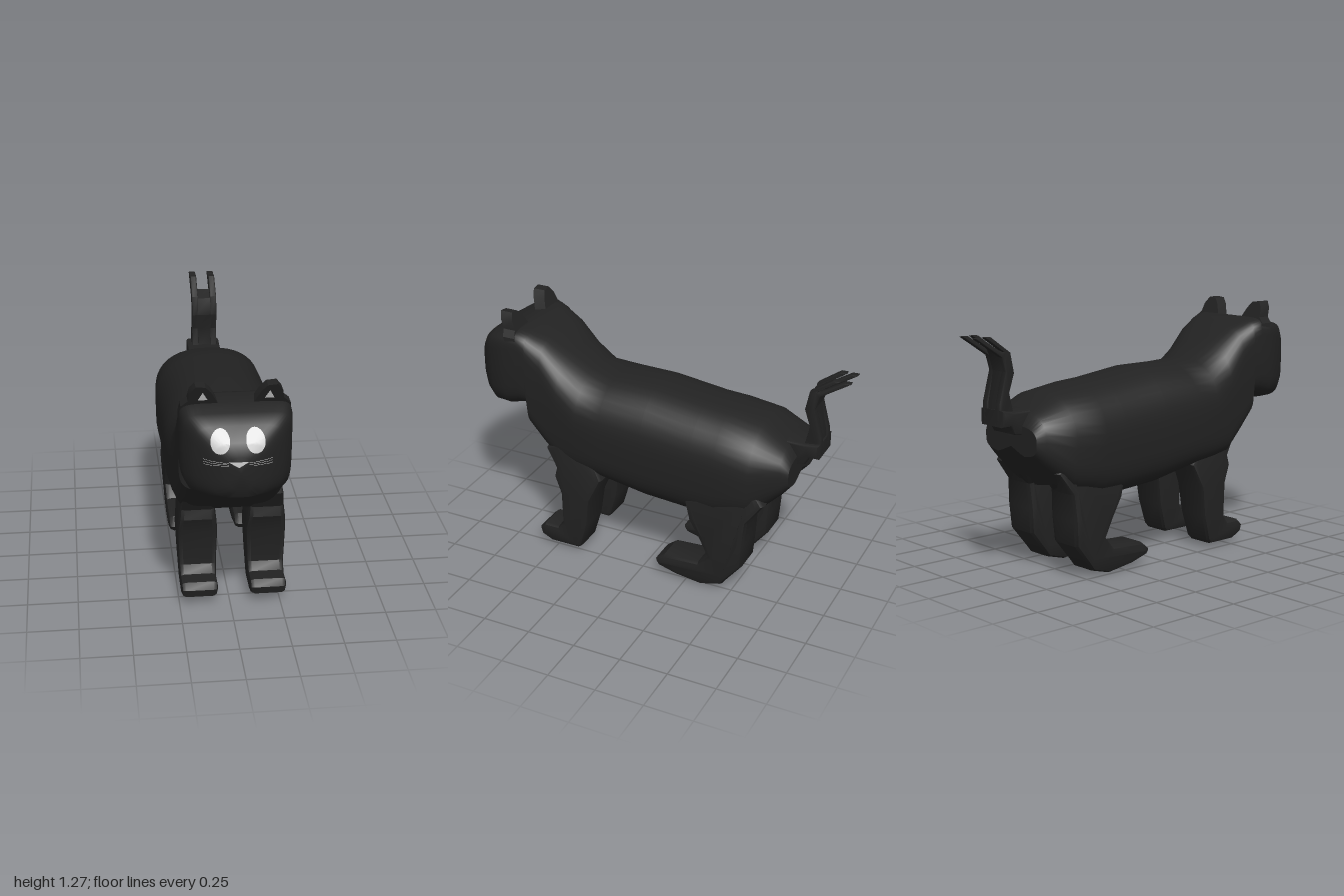
import * as THREE from 'three';
import { toCreasedNormals } from 'three/addons/utils/BufferGeometryUtils.js';

const fur = new THREE.MeshStandardMaterial({ color: 0x222222, side: THREE.DoubleSide });
const pale = new THREE.MeshStandardMaterial({ color: 0xcccccc, side: THREE.DoubleSide });

// Skin of rounded sections along z:
// [z, bottom, top, halfWidth, squareness above, squareness below, groove under the middle]
function loft(sections, n = 40) {
  const pos = [], idx = [];
  const pw = (v, e) => Math.sign(v) * Math.abs(v) ** e;
  for (const [z, lo, hi, w, sqTop, sqLow, groove = 0] of sections) {
    for (let j = 0; j < n; j++) {
      const a = (j / n) * Math.PI * 2, s = Math.sin(a), e = 2 / (s > 0 ? sqTop : sqLow);
      const x = w * pw(Math.cos(a), e);
      const lift = s < 0 ? groove * Math.max(0, 1 - Math.abs(x) / 0.1) : 0;
      pos.push(x, (lo + hi) / 2 + ((hi - lo) / 2) * pw(s, e) + lift, z);
    }
  }
  const last = sections.length - 1;
  for (let i = 0; i < last; i++) {
    for (let j = 0; j < n; j++) {
      const k = (j + 1) % n, a = i * n + j, b = i * n + k;
      idx.push(a, a + n, b, b, a + n, b + n);
    }
  }
  // end caps
  for (const i of [0, last]) {
    const [z, lo, hi] = sections[i], c = pos.length / 3;
    pos.push(0, (lo + hi) / 2, z);
    for (let j = 0; j < n; j++) {
      const a = i * n + j, b = i * n + ((j + 1) % n);
      if (i === 0) idx.push(c, a, b);
      else idx.push(c, b, a);
    }
  }
  const g = new THREE.BufferGeometry();
  g.setAttribute('position', new THREE.Float32BufferAttribute(pos, 3));
  g.setIndex(idx);
  return toCreasedNormals(g, 0.6);
}

// Side outline of [z, y] points, thickened across x with soft edges;
// widthAt(y) makes it broader or narrower with height
function slab(outline, width, bevel, widthAt = () => 1) {
  const shape = new THREE.Shape(outline.map(([z, y]) => new THREE.Vector2(z, y)));
  const g = new THREE.ExtrudeGeometry(shape, {
    depth: width - 2 * bevel, bevelThickness: bevel, bevelSize: bevel, bevelOffset: -bevel, bevelSegments: 2,
  });
  g.translate(0, 0, bevel - width / 2);
  g.rotateY(-Math.PI / 2);
  const p = g.attributes.position;
  for (let i = 0; i < p.count; i++) p.setX(i, p.getX(i) * widthAt(p.getY(i)));
  return toCreasedNormals(g, 0.6);
}

// Legs are slimmer at the foot, fullest at the knee, and tuck into the body above
const legWidth = (y) => (y < 0.33 ? 0.86 + 0.5 * y : 1.025 - 1.1 * (y - 0.33));

export function createModel() {
  const model = new THREE.Group();
  const add = (name, geometry, material = fur, x = 0) => {
    const mesh = new THREE.Mesh(geometry, material);
    mesh.name = name;
    mesh.position.x = x;
    model.add(mesh);
    return mesh;
  };

  // Head and body in one skin, nose to rump
  const body = add('headAndBody', loft([
    [1.0, 0.84, 1.0, 0.06, 3, 3], [0.975, 0.79, 1.06, 0.13, 4, 3], [0.92, 0.765, 1.12, 0.2, 6, 3.5],
    [0.86, 0.745, 1.155, 0.245, 8, 4], [0.78, 0.745, 1.175, 0.26, 8, 4], [0.71, 0.765, 1.19, 0.26, 7, 4],
    [0.665, 0.78, 1.175, 0.255, 6, 5], [0.655, 0.67, 1.17, 0.255, 6, 6], [0.58, 0.58, 1.14, 0.255, 4.5, 6],
    [0.48, 0.48, 1.06, 0.265, 3, 5.5], [0.37, 0.46, 0.985, 0.28, 2.4, 4.5], [0.23, 0.44, 0.98, 0.29, 2.3, 4],
    [0, 0.39, 0.98, 0.29, 2.3, 3.6], [-0.27, 0.37, 0.945, 0.29, 2.3, 3.5],
    [-0.4, 0.38, 0.935, 0.295, 2.3, 3.6, 0.06], [-0.58, 0.43, 0.905, 0.285, 2.4, 3.6, 0.12],
    [-0.72, 0.57, 0.83, 0.225, 2.8, 3.6, 0.08], [-0.76, 0.62, 0.77, 0.2, 3, 3.6, 0.04],
  ]));

  // Legs
  const frontLeg = [
    [0.37, 0.02], [0.53, 0.02], [0.59, 0.05], [0.6, 0.09], [0.57, 0.12], [0.49, 0.12], [0.46, 0.16],
    [0.46, 0.34], [0.5, 0.43], [0.49, 0.48], [0.55, 0.58], [0.45, 0.64], [0.3, 0.6], [0.23, 0.46],
    [0.29, 0.33], [0.31, 0.18], [0.35, 0.04],
  ];
  const hindLeg = [
    [-0.34, 0], [-0.45, 0.03], [-0.48, 0.07], [-0.56, 0.17], [-0.57, 0.3], [-0.58, 0.43], [-0.66, 0.54],
    [-0.6, 0.62], [-0.4, 0.6], [-0.24, 0.48], [-0.27, 0.38], [-0.33, 0.28], [-0.37, 0.19], [-0.32, 0.13],
    [-0.13, 0.12], [-0.08, 0.08], [-0.1, 0.05], [-0.2, 0.02],
  ];
  add('rightFrontLeg', slab(frontLeg, 0.2, 0.025, legWidth), fur, -0.15);
  add('leftFrontLeg', slab(frontLeg, 0.2, 0.025, legWidth), fur, 0.19);
  add('rightHindLeg', slab(hindLeg, 0.21, 0.03, legWidth), fur, -0.16);
  add('leftHindLeg', slab(hindLeg, 0.21, 0.03, legWidth), fur, 0.19);

  // Tail: broad root, central strip and two outer strips with split tips
  add('tailRoot', slab([
    [-0.7, 0.84], [-0.74, 0.72], [-0.8, 0.73], [-0.82, 0.77], [-0.87, 0.77], [-0.87, 0.85], [-0.8, 0.84],
  ], 0.18, 0.012));
  add('tailCore', slab([
    [-0.79, 0.78], [-0.86, 0.78], [-0.86, 0.88], [-0.83, 1.03], [-0.85, 1.1], [-0.87, 1.14], [-0.8, 1.11],
    [-0.78, 1.02], [-0.81, 0.93],
  ], 0.1, 0.008));
  const strip = [
    [-0.78, 0.78], [-0.87, 0.78], [-0.87, 0.88], [-0.83, 1.03], [-0.85, 1.1], [-1.0, 1.2], [-0.965, 1.2],
    [-0.85, 1.125], [-0.838, 1.125], [-0.945, 1.2], [-0.91, 1.2], [-0.8, 1.12], [-0.78, 1.02],
    [-0.81, 0.93], [-0.79, 0.84],
  ];
  for (const x of [-0.045, 0.055]) add('tailStrip', slab(strip, 0.035, 0.005), fur, x);

  // Ears: upright plates leaning forward, with pale inner triangles
  for (const s of [-1, 1]) {
    const plate = (pts, depth, z0) => {
      const g = new THREE.ExtrudeGeometry(
        new THREE.Shape(pts.map(([x, y]) => new THREE.Vector2(s * x, y))), { depth, bevelEnabled: false });
      const p = g.attributes.position;
      for (let i = 0; i < p.count; i++) p.setZ(i, p.getZ(i) + z0 + (p.getY(i) - 1.15) * 0.4);
      return toCreasedNormals(g, 0.6);
    };
    add('ear', plate([
      [0.07, 1.15], [0.113, 1.235], [0.14, 1.265], [0.185, 1.27], [0.21, 1.235], [0.218, 1.19], [0.25, 1.16],
      [0.255, 1.12],
    ], 0.065, 0.71));
    add('innerEar', plate([[0.13, 1.195], [0.172, 1.195], [0.152, 1.237]], 0.004, 0.775), pale);
  }

  // Face markings laid onto the front of the head
  const ray = new THREE.Raycaster();
  const drape = (g, lift) => {
    const p = g.attributes.position;
    for (let i = 0; i < p.count; i++) {
      ray.set(new THREE.Vector3(p.getX(i), p.getY(i), 3), new THREE.Vector3(0, 0, -1));
      p.setZ(i, ray.intersectObject(body)[0].point.z + lift);
    }
    g.computeVertexNormals();
    return g;
  };
  for (const x of [-0.09, 0.068]) {
    const eye = new THREE.RingGeometry(0.001, 1, 28, 6).scale(0.043, 0.051, 1);
    add('eye', drape(eye.rotateZ(x < 0 ? -0.2 : 0.2).translate(x, 1.065, 0), 0.006), pale);
  }
  const nose = new THREE.CircleGeometry(1, 3).rotateZ(-Math.PI / 2).scale(0.052, 0.019, 1);
  add('nose', drape(nose.translate(-0.01, 0.972, 0), 0.008), pale);
  for (const s of [-1, 1]) {
    for (let i = 0; i < 3; i++) {
      const whisker = new THREE.PlaneGeometry(0.11, 0.002, 12, 1).rotateZ(s * (i - 1) * 0.05);
      add('whisker', drape(whisker.translate(-0.01 + s * 0.1, 0.96 + i * 0.009, 0), 0.005), pale);
    }
  }
  return model;
}
